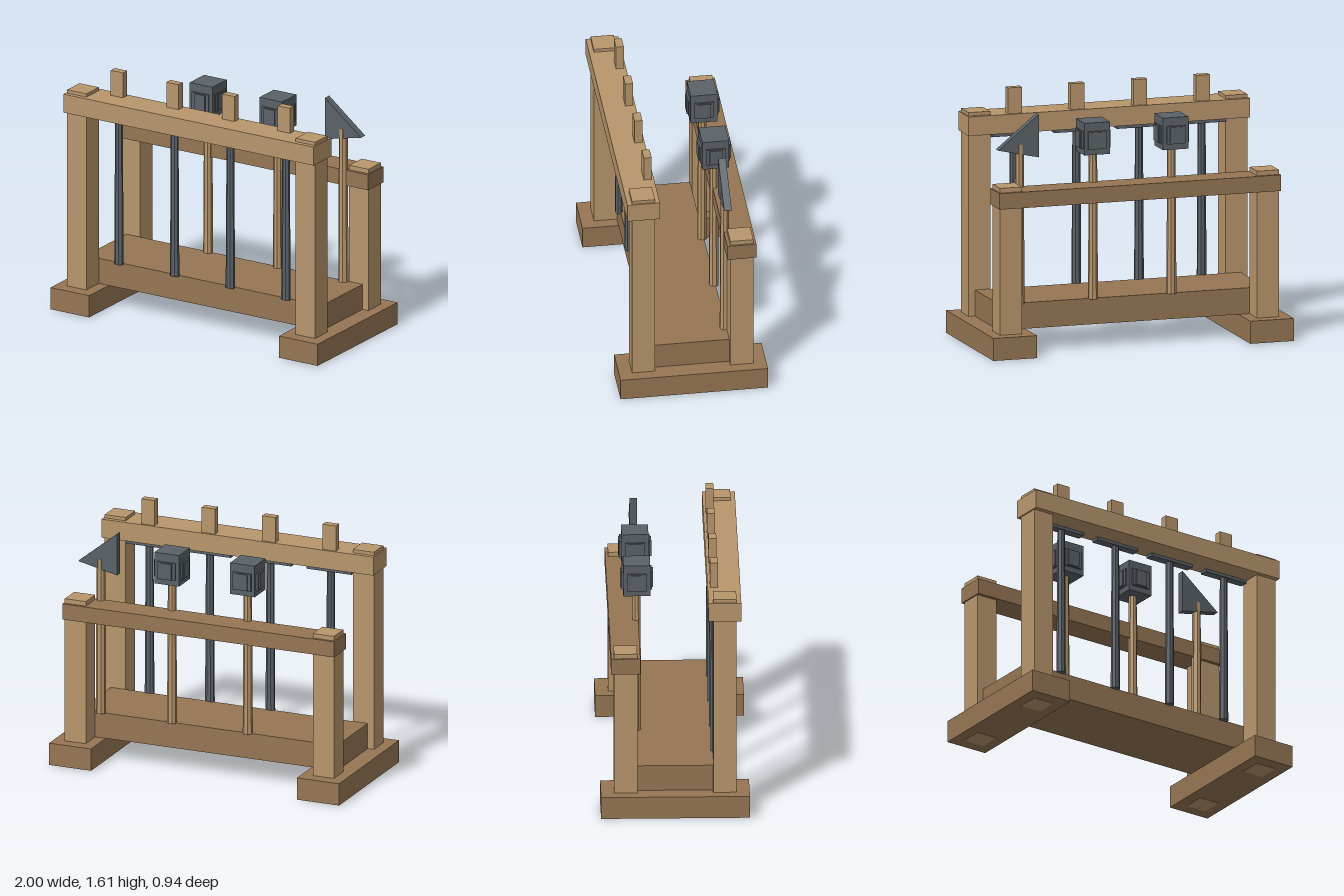
import * as THREE from 'three';

const lightWood = new THREE.MeshStandardMaterial({ color: 0xb8966c, flatShading: true });
const darkWood = new THREE.MeshStandardMaterial({ color: 0x967654, flatShading: true });
const metal = new THREE.MeshStandardMaterial({ color: 0x5a6268, flatShading: true });

export function createModel() {
  const rack = new THREE.Group();
  rack.name = 'weaponRack';

  const add = (name, geometry, material, parent = rack) => {
    const mesh = new THREE.Mesh(geometry, material);
    mesh.name = name;
    parent.add(mesh);
    return mesh;
  };
  // Box given by its lower and upper limits on each axis
  const box = (name, mat, [x0, x1], [y0, y1], [z0, z1], parent) => {
    const mesh = add(name, new THREE.BoxGeometry(x1 - x0, y1 - y0, z1 - z0), mat, parent);
    mesh.position.set((x0 + x1) / 2, (y0 + y1) / 2, (z0 + z1) / 2);
  };
  // Slightly tapered eight-sided rod standing on the platform
  const rod = (name, mat, x, z, top, rTop, rBottom, depth, parent) => {
    const geo = new THREE.CylinderGeometry(rTop, rBottom, top - 0.31, 8);
    geo.rotateY(Math.PI / 8).scale(1, 1, depth);
    add(name, geo, mat, parent).position.set(x, (top + 0.31) / 2, z);
  };

  // Frame: feet and posts on both sides
  for (const s of [-1, 1]) {
    const side = s < 0 ? 'right' : 'left';
    const span = (a, b) => (s < 0 ? [-b, -a] : [a, b]);
    box(side + 'Foot', darkWood, span(0.71, 1), [0.002, 0.147], [-0.47, 0.47]);
    box(side + 'FrontPost', lightWood, span(0.783, 0.928), [0, 1.46], [0.24, 0.387]);
    box(side + 'BackPost', lightWood, span(0.783, 0.928), [0, 1.093], [-0.387, -0.24]);
  }
  box('platform', darkWood, [-0.885, 0.885], [0.147, 0.315], [-0.24, 0.24]);
  box('frontRail', lightWood, [-0.937, 0.937], [1.315, 1.438], [0.21, 0.417]);
  box('backRail', darkWood, [-0.937, 0.937], [0.96, 1.063], [-0.405, -0.22]);

  // Swords hanging from the front rail
  for (const x of [-0.627, -0.21, 0.207, 0.623]) {
    const sword = new THREE.Group();
    sword.name = 'sword';
    rack.add(sword);
    box('grip', lightWood, [x - 0.046, x + 0.046], [1.31, 1.605], [0.225, 0.275], sword);
    box('guard', metal, [x - 0.156, x + 0.156], [1.295, 1.325], [0.222, 0.278], sword);
    rod('blade', metal, x, 0.25, 1.31, 0.026, 0.032, 0.75, sword);
  }

  // Maces with ribbed block heads
  const backZ = -0.23;
  for (const x of [-0.265, 0.257]) {
    const mace = new THREE.Group();
    mace.name = 'mace';
    rack.add(mace);
    rod('shaft', lightWood, x, backZ, 1.34, 0.026, 0.032, 1, mace);
    const block = (name, hx, hz, y) =>
      box(name, metal, [x - hx, x + hx], y, [backZ - hz, backZ + hz], mace);
    block('head', 0.085, 0.085, [1.253, 1.46]);
    for (const [reach, half, y] of [[0.104, 0.04, [1.295, 1.4]], [0.096, 0.062, [1.29, 1.405]]]) {
      block('sideRib', reach, half, y);
      block('frontRib', half, reach, y);
    }
  }

  // Axe with a triangular blade
  const axe = new THREE.Group();
  axe.name = 'axe';
  rack.add(axe);
  rod('shaft', lightWood, 0.747, backZ, 1.34, 0.028, 0.033, 1, axe);
  const outline = new THREE.Shape([
    new THREE.Vector2(0.625, 1.525),
    new THREE.Vector2(0.625, 1.248),
    new THREE.Vector2(0.895, 1.308),
  ]);
  const bladeGeo = new THREE.ExtrudeGeometry(outline, { depth: 0.048, bevelEnabled: false });
  add('axeBlade', bladeGeo, metal, axe).position.z = backZ - 0.024;

  return rack;
}
